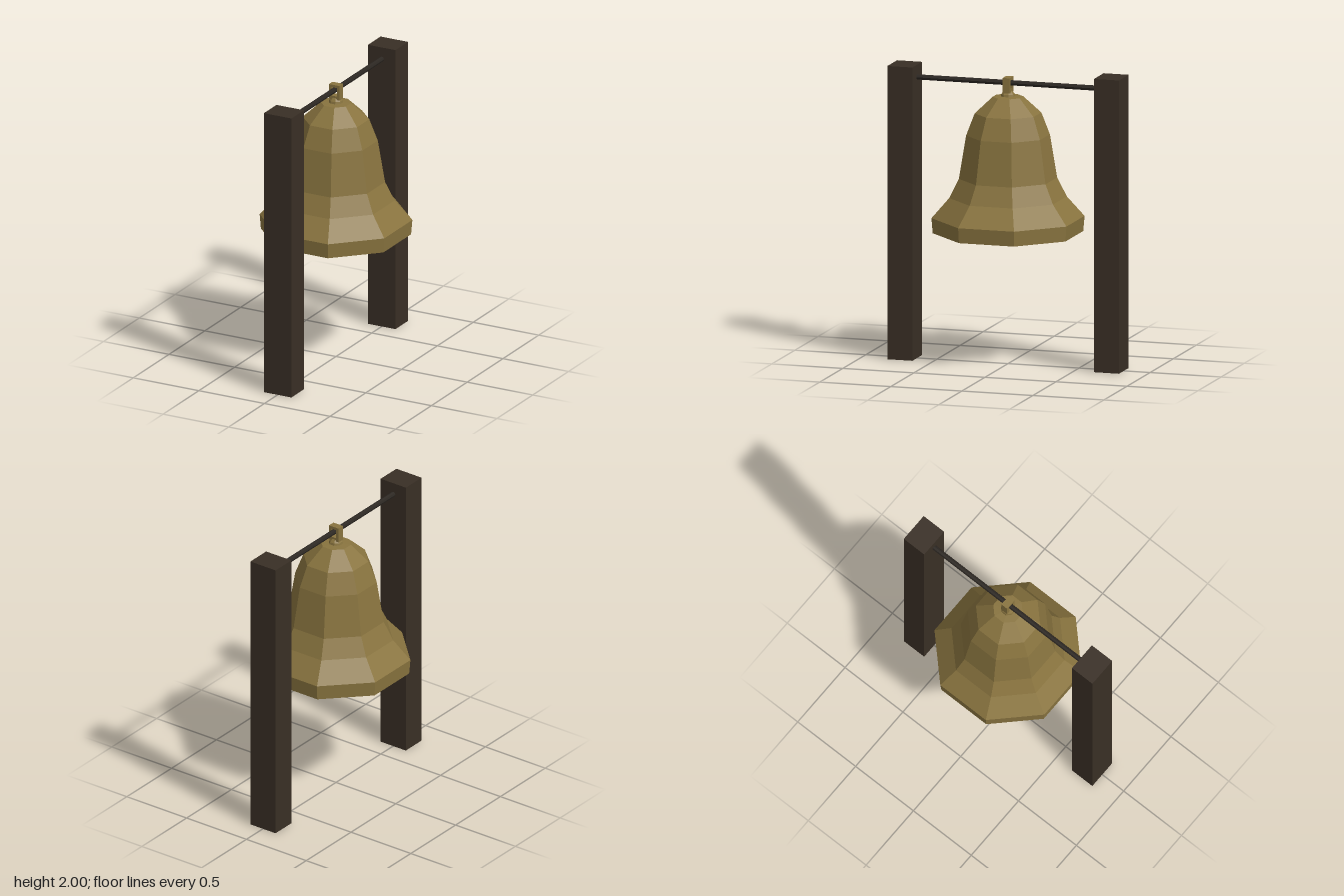
import * as THREE from 'three';

const SIDES = 8;
const APOTHEM = Math.cos(Math.PI / SIDES);

const flat = (color, name) => {
  const m = new THREE.MeshStandardMaterial({ color, flatShading: true });
  m.name = name;
  return m;
};

// Eight-sided turned shape; each point is [distance to the flat side, height]
function turned(points) {
  const profile = points.map(([r, y]) => new THREE.Vector2(r / APOTHEM, y));
  return new THREE.LatheGeometry(profile, SIDES, Math.PI / SIDES);
}

export function createModel() {
  const model = new THREE.Group();
  const bronze = flat(0x89743f, 'bronze');
  const wood = flat(0x392f25, 'dark wood');
  const iron = flat(0x2c2722, 'dark iron');

  const add = (name, geometry, material, x = 0, y = 0, z = 0) => {
    const mesh = new THREE.Mesh(geometry, material);
    mesh.name = name;
    mesh.position.set(x, y, z);
    model.add(mesh);
    return mesh;
  };

  // Two upright posts, front and back
  for (const [name, s] of [['frontPost', 1], ['backPost', -1]]) {
    add(name, new THREE.BoxGeometry(0.21, 2, 0.176), wood, 0, 1, s * 0.727);
  }

  // Rod between the posts
  const rod = new THREE.CylinderGeometry(0.018, 0.018, 1.3, 8);
  rod.rotateX(Math.PI / 2);
  add('crossRod', rod, iron, 0, 1.917, 0);

  // Hollow bell: down the inside, around the lip and up the outside
  add('bell', turned([
    [0, 1.76], [0.08, 1.75], [0.17, 1.66], [0.215, 1.54], [0.255, 1.26],
    [0.31, 1.11], [0.39, 0.98], [0.39, 0.89],
    [0.467, 0.897], [0.475, 1.0], [0.365, 1.135], [0.305, 1.265],
    [0.26, 1.56], [0.207, 1.71], [0.095, 1.822], [0, 1.828],
  ]), bronze);

  // Small collar under the hanging loop
  add('collar', turned([[0.046, 1.822], [0.042, 1.84], [0.025, 1.862], [0, 1.862]]), bronze);

  // Square loop around the rod
  const loopShape = new THREE.Shape([
    [-0.04, 1.85], [0.04, 1.85], [0.04, 1.954], [-0.04, 1.954],
  ].map(([x, y]) => new THREE.Vector2(x, y)));
  loopShape.holes.push(new THREE.Path([
    [-0.02, 1.875], [-0.02, 1.936], [0.02, 1.936], [0.02, 1.875],
  ].map(([x, y]) => new THREE.Vector2(x, y))));
  const loop = new THREE.ExtrudeGeometry(loopShape, { depth: 0.05, bevelEnabled: false });
  add('hangingLoop', loop, bronze, 0, 0, -0.025);

  // Clapper with a rounded end
  add('clapper', turned([
    [0, 0.83], [0.048, 0.842], [0.08, 0.875], [0.088, 0.91],
    [0.088, 1.15], [0.05, 1.22], [0.03, 1.3], [0.03, 1.77],
  ]), bronze);

  return model;
}
